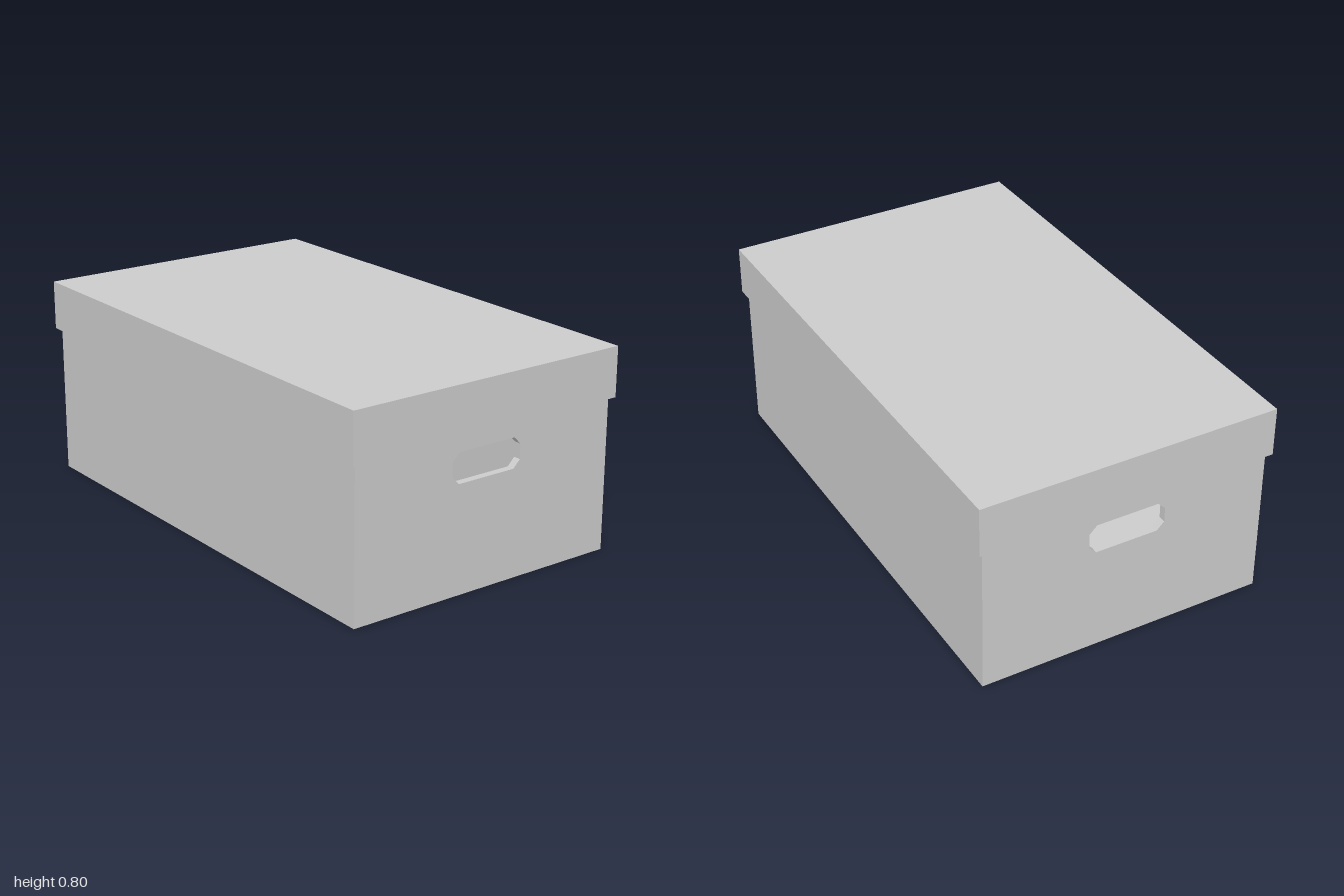
import * as THREE from 'three';

const material = new THREE.MeshStandardMaterial({ color: 0xcccccc, flatShading: true });

// Outer sizes of body and lid
const BODY = { w: 1.17, d: 1.966, top: 0.78, wall: 0.03 };
const LID = { w: 1.21, d: 2, bottom: 0.603, top: 0.8 };

// Closed outline from [x, y] points
const trace = (path, points) => path.setFromPoints(points.map(([x, y]) => new THREE.Vector2(x, y)));

const rectangle = (x, y0, y1) => [[-x, y0], [x, y0], [x, y1], [-x, y1]];

function add(parent, name, geometry, x = 0, y = 0, z = 0) {
  const mesh = new THREE.Mesh(geometry, material);
  mesh.name = name;
  mesh.position.set(x, y, z);
  parent.add(mesh);
  return mesh;
}

// Slab with one cut-out
function cutSlab(outer, hole, depth) {
  const shape = trace(new THREE.Shape(), outer);
  shape.holes.push(trace(new THREE.Path(), hole));
  return new THREE.ExtrudeGeometry(shape, { depth, bevelEnabled: false });
}

function createBody() {
  const body = new THREE.Group();
  body.name = 'boxBody';
  const { w, d, top, wall } = BODY;

  // End walls with chamfered hand holes
  const handle = [
    [-0.127, 0.426], [0.127, 0.426], [0.157, 0.456], [0.157, 0.515],
    [0.127, 0.545], [-0.127, 0.545], [-0.157, 0.515], [-0.157, 0.456],
  ];
  const end = cutSlab(rectangle(w / 2, 0, top), handle, wall);
  add(body, 'frontWall', end, 0, 0, d / 2 - wall);
  add(body, 'backWall', end, 0, 0, -d / 2);

  // Side walls and floor sit between the ends
  const side = new THREE.BoxGeometry(wall, top, d - 2 * wall);
  add(body, 'leftWall', side, (w - wall) / 2, top / 2, 0);
  add(body, 'rightWall', side, -(w - wall) / 2, top / 2, 0);
  add(body, 'floor', new THREE.BoxGeometry(w - 2 * wall, wall, d - 2 * wall), 0, wall / 2, 0);
  return body;
}

function createLid() {
  const lid = new THREE.Group();
  lid.name = 'lid';
  const { w, d, bottom, top } = LID;

  // Rim wraps around the top of the body
  const rim = cutSlab(
    rectangle(w / 2, -d / 2, d / 2),
    rectangle(BODY.w / 2, -BODY.d / 2, BODY.d / 2),
    BODY.top - bottom,
  );
  rim.rotateX(-Math.PI / 2);
  add(lid, 'lidRim', rim, 0, bottom, 0);

  // Flat top panel
  const thickness = top - BODY.top;
  add(lid, 'lidTop', new THREE.BoxGeometry(w, thickness, d), 0, top - thickness / 2, 0);
  return lid;
}

export function createModel() {
  const model = new THREE.Group();
  model.name = 'storageBox';
  model.add(createBody(), createLid());
  return model;
}
